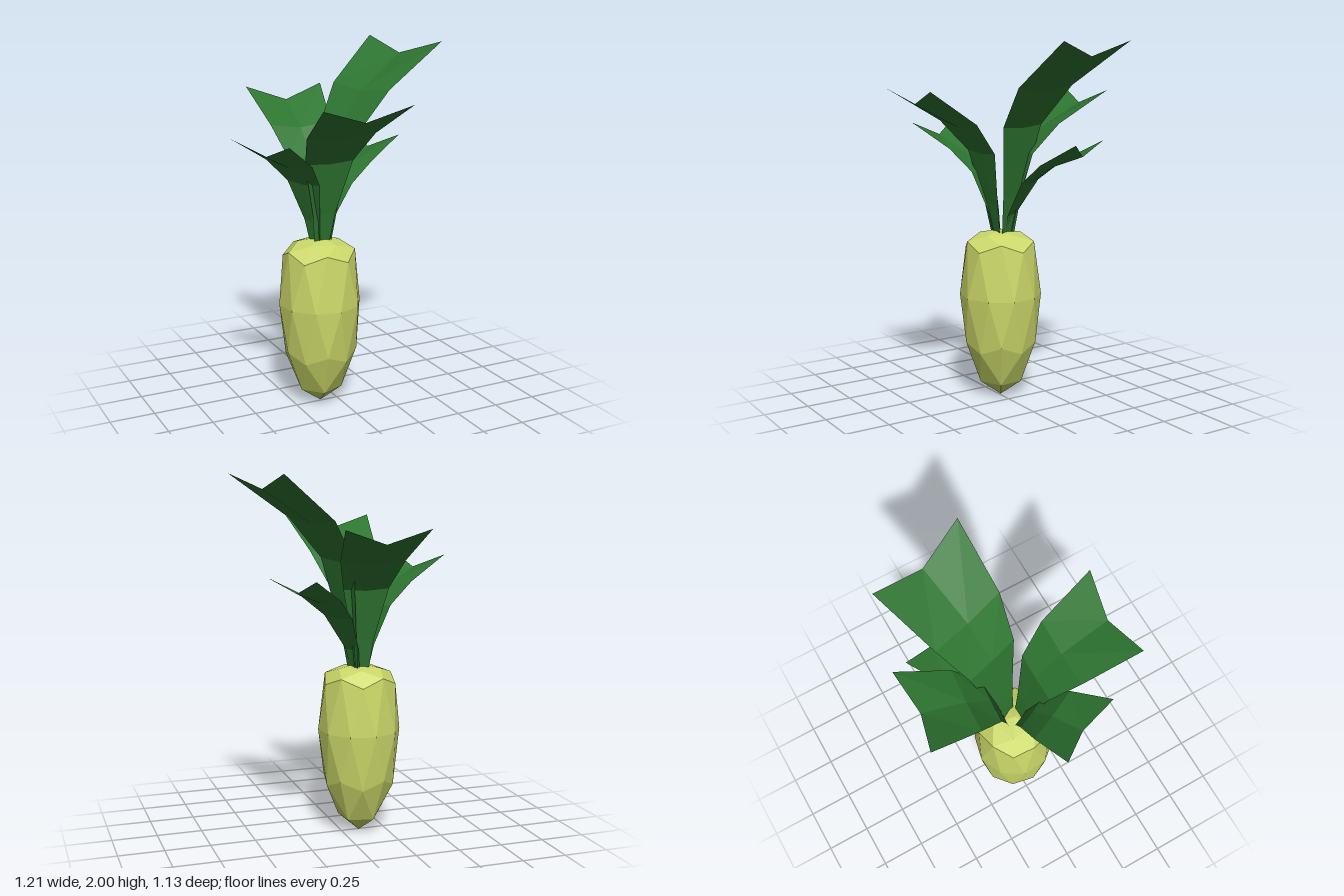
import * as THREE from 'three';

const rootMaterial = new THREE.MeshStandardMaterial({ color: 0xcbd869, flatShading: true });
const leafMaterial = new THREE.MeshStandardMaterial({
  color: 0x2e7631, flatShading: true, side: THREE.DoubleSide,
});

// Faceted bulb: an icosphere stood on a corner, stretched tall and flattened on top
function createRoot() {
  const geometry = new THREE.IcosahedronGeometry(1, 1);
  geometry.rotateX(-Math.atan((1 + Math.sqrt(5)) / 2));
  geometry.rotateY(THREE.MathUtils.degToRad(23));
  const p = geometry.attributes.position;
  for (let i = 0; i < p.count; i++) {
    const y = p.getY(i);
    let height = 0.595 + 0.59 * y;
    if (y > 0.8) height = y > 0.99 ? 0.965 : 0.942;
    p.setXYZ(i, p.getX(i) * 0.228, height, p.getZ(i) * 0.228);
  }
  geometry.computeVertexNormals();
  const mesh = new THREE.Mesh(geometry, rootMaterial);
  mesh.name = 'root';
  mesh.position.set(-0.1, 0, -0.01);
  return mesh;
}

// Leaf: five V-shaped cross-sections that rise, bend outwards and widen to a notched tip
function createLeaf({ yaw, reach, top, width, bend = 0.23 }) {
  const base = 0.94;
  const out = [0.07, 0.12, bend, bend + 0.25, 1];
  const rise = [0, 0.21, 0.57, 0.775, 1];
  const half = [0.18, 0.27, 0.56, 0.79, 1];
  const dip = [0, 0.005, 0.01, 0.025, 0.078];
  const points = [];
  const index = [];
  out.forEach((o, i) => {
    const notch = i === 4 ? 0.042 : 0;
    const y = base + (top - base) * rise[i];
    const w = width * half[i];
    points.push(-w, y, o * reach, 0, y - dip[i], o * reach - notch, w, y, o * reach);
    if (i === 0) return;
    for (let side = 0; side < 2; side++) {
      const a = (i - 1) * 3 + side;
      index.push(a, a + 3, a + 1, a + 1, a + 3, a + 4);
    }
  });
  const geometry = new THREE.BufferGeometry();
  geometry.setAttribute('position', new THREE.Float32BufferAttribute(points, 3));
  geometry.setIndex(index);
  geometry.computeVertexNormals();
  const mesh = new THREE.Mesh(geometry, leafMaterial);
  mesh.rotation.y = THREE.MathUtils.degToRad(yaw);
  return mesh;
}

export function createModel() {
  const model = new THREE.Group();
  model.name = 'rootVegetable';
  model.add(createRoot());

  // Crown of five leaves around the top of the root
  const leaves = new THREE.Group();
  leaves.name = 'leaves';
  leaves.position.set(-0.1, 0, -0.02);
  const specs = {
    frontLeaf: { yaw: 0, reach: 0.58, top: 1.75, width: 0.25 },
    backLeaf: { yaw: 176, reach: 0.54, top: 1.73, width: 0.225 },
    rightLeaf: { yaw: -65, reach: 0.465, top: 1.55, width: 0.2, bend: 0.27 },
    tallLeftLeaf: { yaw: 106, reach: 0.65, top: 2.0, width: 0.28 },
    lowLeftLeaf: { yaw: 119, reach: 0.53, top: 1.47, width: 0.18, bend: 0.33 },
  };
  for (const [name, spec] of Object.entries(specs)) {
    const leaf = createLeaf(spec);
    leaf.name = name;
    leaves.add(leaf);
  }
  model.add(leaves);
  return model;
}
